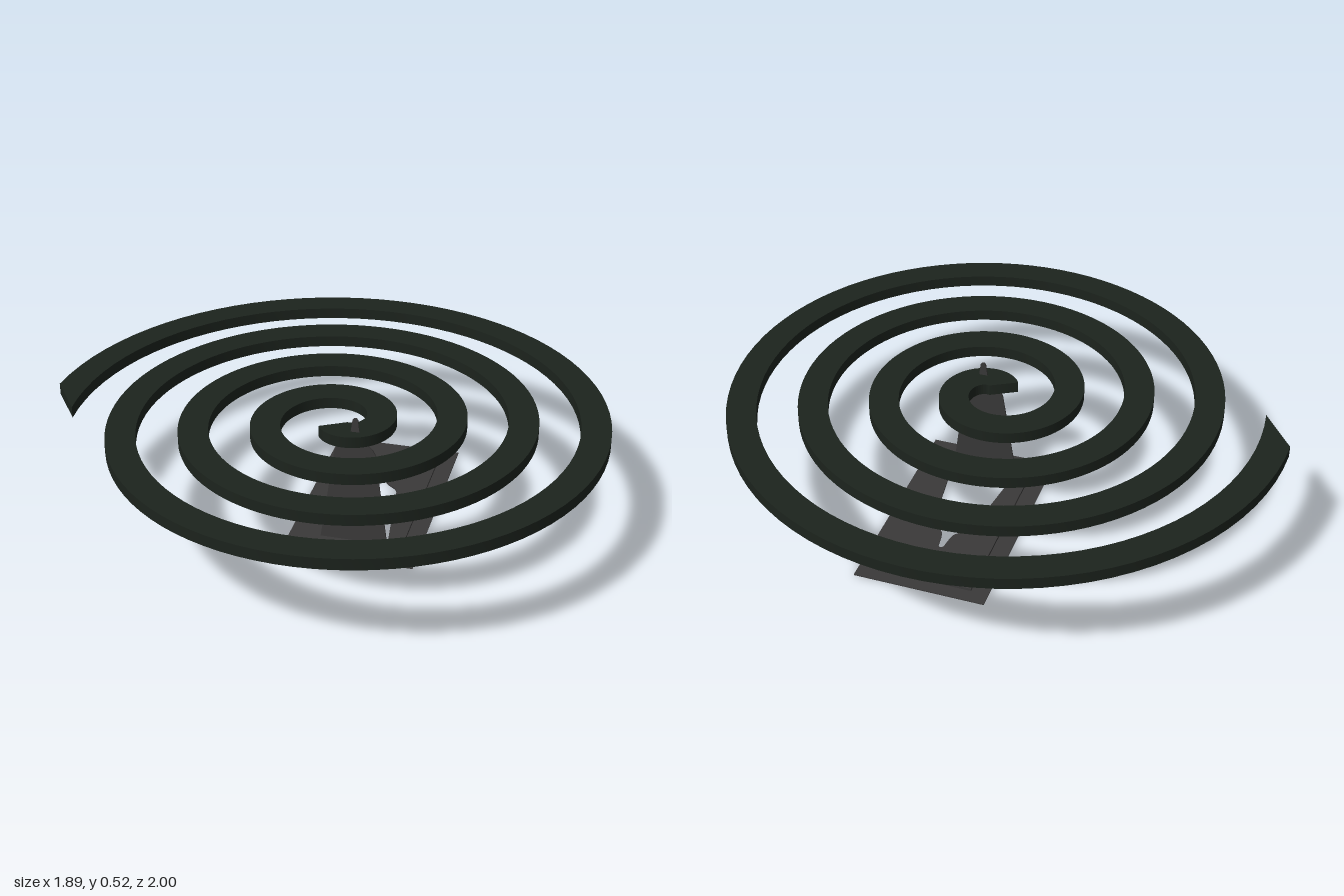
import * as THREE from 'three';
import { toCreasedNormals } from 'three/addons/utils/BufferGeometryUtils.js';

const coilMat = new THREE.MeshStandardMaterial({ color: 0x1c231d });
const metalMat = new THREE.MeshStandardMaterial({ color: 0x3a3939, side: THREE.DoubleSide });

const toShape = (pts) => new THREE.Shape(pts.map(([x, y]) => new THREE.Vector2(x, y)));
const rect = (w, h) => [[-w, -h], [w, -h], [w, h], [-w, h]];
const mirrored = (half) => [...half, ...half.map(([x, y]) => [-x, y]).reverse()];

// Extrudes an outline (with optional hole) upwards, lying flat on the ground plane
function slab(name, mat, outline, hole, bottom, height) {
  const shape = toShape(outline);
  if (hole) shape.holes.push(toShape(hole));
  const geo = new THREE.ExtrudeGeometry(shape, { depth: height, bevelEnabled: false });
  geo.rotateX(-Math.PI / 2);
  const mesh = new THREE.Mesh(toCreasedNormals(geo, 0.6), mat);
  mesh.name = name;
  mesh.position.y = bottom;
  return mesh;
}

// Outline of an evenly opening spiral band with a slanted outer end
function spiralBand() {
  const start = -2.6, end = 21.43, steps = 420, half = 0.055, r0 = 0.16, growth = 0.04165;
  const edge = (a, side) => {
    const r = r0 + growth * a, c = Math.cos(a), s = Math.sin(a);
    const tx = growth * c - r * s, ty = growth * s + r * c, len = Math.hypot(tx, ty);
    return [r * c + side * half * ty / len, r * s - side * half * tx / len];
  };
  const outer = [], inner = [];
  for (let i = 0; i <= steps; i++) {
    // finer steps near the tight centre
    const t = Math.pow(i / steps, 1.3);
    outer.push(edge(start + (end - 0.08 - start) * t, 1));
    inner.push(edge(start + (end + 0.08 - start) * t, -1));
  }
  return [...outer, ...inner.reverse()];
}

export function createModel() {
  const model = new THREE.Group();

  // Spiral coil
  const coil = slab('spiralCoil', coilMat, spiralBand(), null, 0.423, 0.043);
  coil.position.x = -0.045;
  coil.position.z = 0.06;
  model.add(coil);

  // Sheet-metal stand, turned under the coil
  const stand = new THREE.Group();
  stand.name = 'stand';
  stand.position.set(0.143, 0, -0.068);
  stand.rotation.y = -0.648;
  model.add(stand);

  // Tongue profile: also the shape cut out of the plate
  const hinge = -0.314;
  const tongue = mirrored([
    [0.128, 0], [0.076, 0.375], [0.066, 0.392], [0.034, 0.418],
    [0.022, 0.432], [0.016, 0.46], [0.01, 0.505], [0.005, 0.512],
  ]);
  const cutout = tongue.map(([x, y]) => [x, y + hinge]);

  // Base plate: thin flange, embossed step and raised panel
  stand.add(slab('flange', metalMat, rect(0.25, 0.432), rect(0.183, 0.379), 0, 0.004));
  stand.add(slab('embossedStep', metalMat, rect(0.184, 0.38), rect(0.178, 0.374), 0, 0.014));
  stand.add(slab('raisedPanel', metalMat, rect(0.179, 0.375), cutout, 0.008, 0.006));

  // Tongue folded up from the plate to carry the coil
  const tongueGeo = new THREE.ExtrudeGeometry(toShape(tongue), { depth: 0.006, bevelEnabled: false });
  const support = new THREE.Mesh(tongueGeo, metalMat);
  support.name = 'supportTongue';
  support.position.set(0, 0.008, -hinge);
  support.rotation.x = -0.04;
  stand.add(support);

  return model;
}
